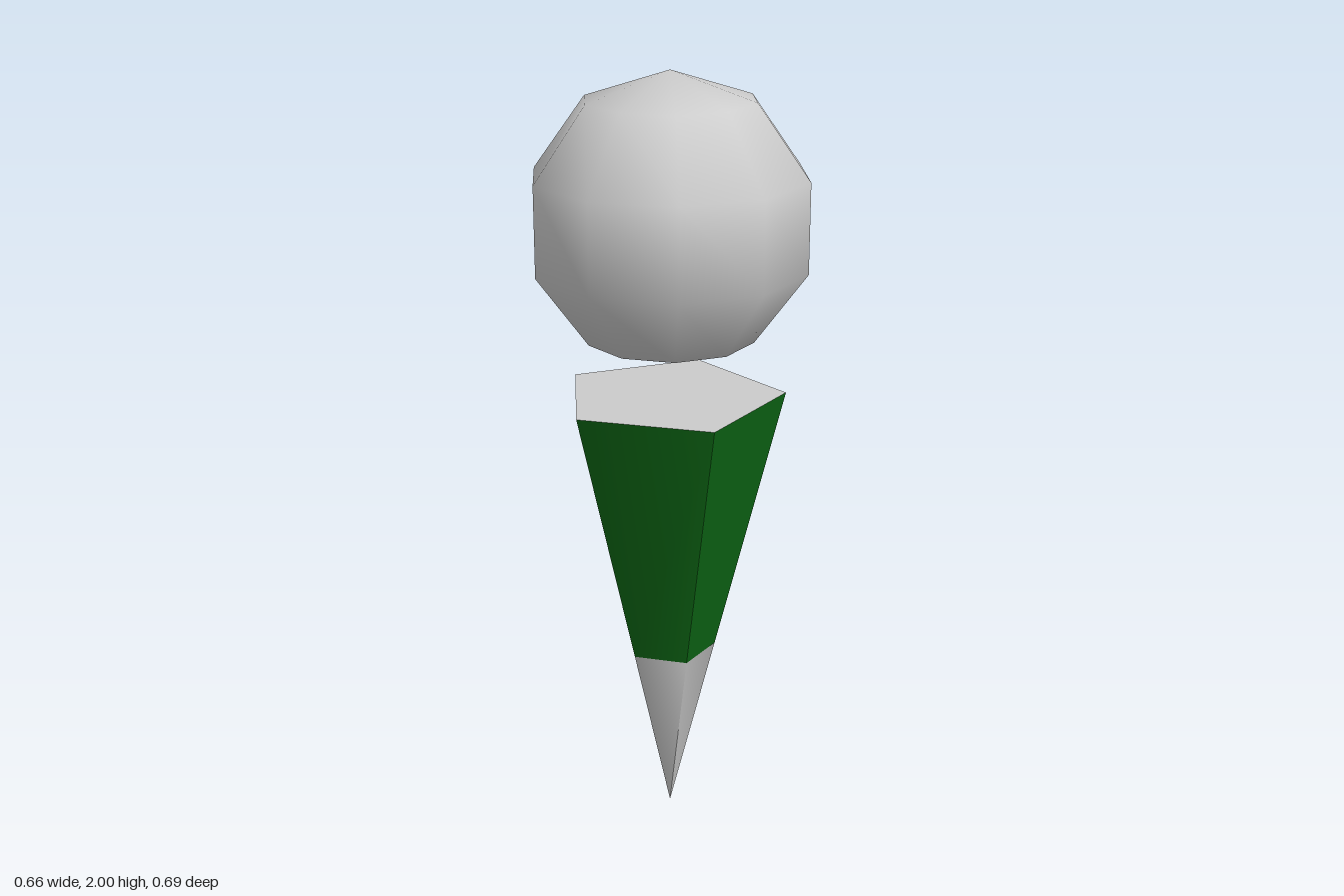
import * as THREE from 'three';

const SIDES = 5;
const STEP = (Math.PI * 2) / SIDES;
const TOP_Y = 1.185, BAND_Y = 0.48, TOP_R = 0.295;
const BAND_R = (TOP_R * BAND_Y) / TOP_Y;
const FLAT_START = Math.PI / 2 - STEP / 2; // the flat side faces +x

export function createModel() {
  const group = new THREE.Group();
  const grey = new THREE.MeshStandardMaterial({ color: 0xcccccc });
  const green = new THREE.MeshStandardMaterial({ color: 0x0d6614 });

  const add = (name, geometry, material) => {
    const mesh = new THREE.Mesh(geometry, material);
    mesh.name = name;
    group.add(mesh);
    return mesh;
  };

  // Some consecutive sides of the five-sided cone between two heights
  const coneWall = (r1, y1, r0, y0, first, count) => {
    const g = new THREE.CylinderGeometry(r1, r0, y1 - y0, count, 1, true, FLAT_START + first * STEP, count * STEP);
    g.translate(0, (y0 + y1) / 2, 0);
    return g;
  };

  // Scoop: low-poly ball with smooth normals, a corner pointing to +z
  const ball = new THREE.SphereGeometry(0.365, 10, 5);
  ball.rotateY(Math.PI / 2);
  ball.translate(0, 1.635, 0);
  add('scoop', ball, grey);

  // Coloured wrapper: one flat side, the other four shaded smoothly together
  [['wrapperFlatSide', 0, 1], ['wrapperRoundSide', 1, 4]].forEach(([name, first, count]) => {
    const g = coneWall(TOP_R, TOP_Y, BAND_R, BAND_Y, first, count);
    g.computeVertexNormals();
    add(name, g, green);
  });

  // Cone top cap
  const cap = new THREE.CircleGeometry(TOP_R, SIDES, Math.PI);
  cap.rotateX(-Math.PI / 2);
  cap.translate(0, TOP_Y, 0);
  add('coneTop', cap, grey);

  // Bare cone tip
  add('coneTip', coneWall(BAND_R, BAND_Y, 0, 0, 0, SIDES), grey);

  return group;
}
